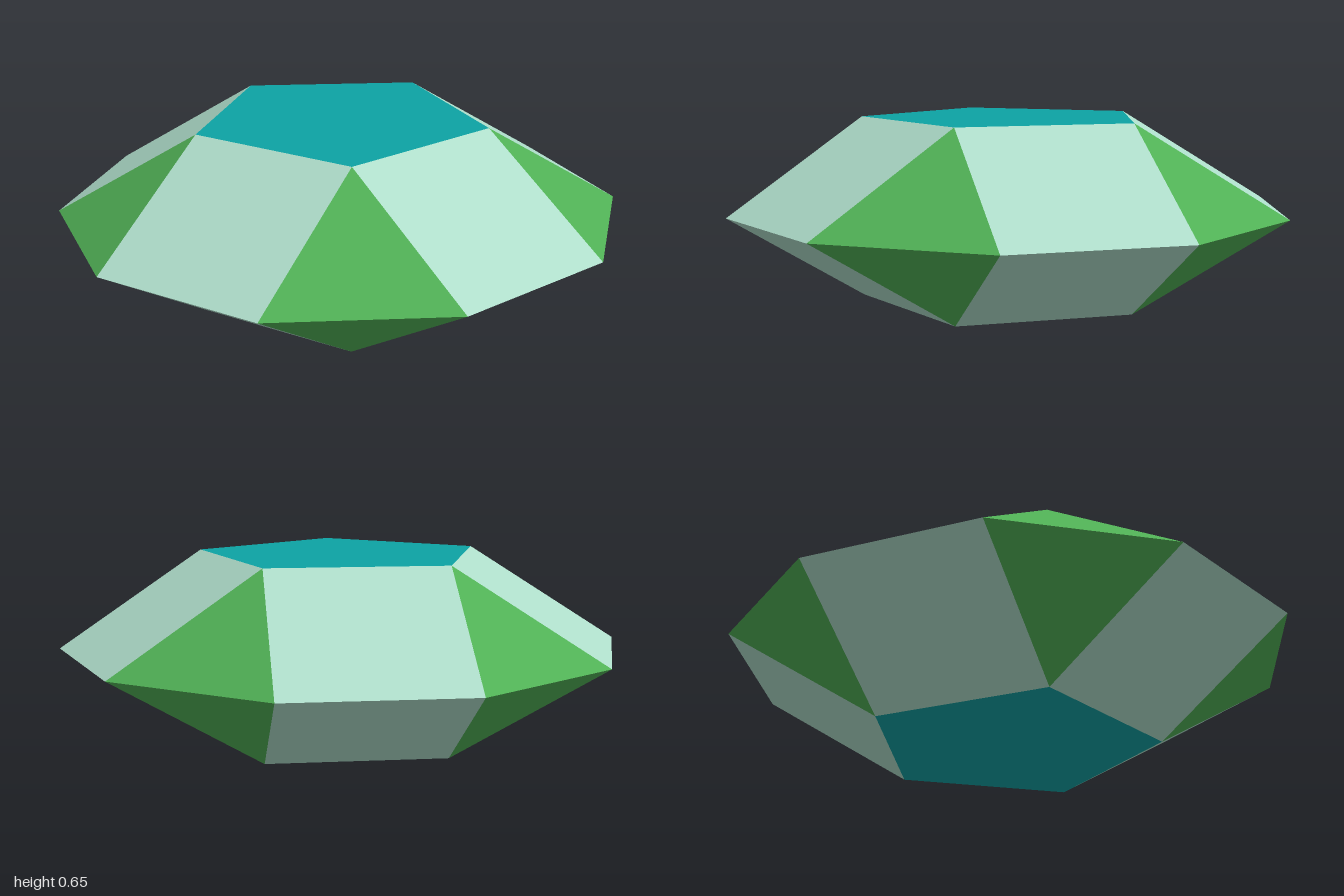
import * as THREE from 'three';

const HALF = 0.325;      // height of each cupola
const R_CAP = 0.5257;    // pentagon radius
const R_RIM = 1;         // decagon radius

const teal = new THREE.MeshStandardMaterial({ name: 'teal', color: 0x0da3a4 });
const mint = new THREE.MeshStandardMaterial({ name: 'mint', color: 0xaeddca });
const green = new THREE.MeshStandardMaterial({ name: 'green', color: 0x50b055 });

// Flat-faced mesh from convex polygons, each split into a fan
function facets(name, polygons, material, flip) {
  const points = [];
  for (const polygon of polygons) {
    const p = flip ? [...polygon].reverse() : polygon;
    for (let i = 1; i < p.length - 1; i++) points.push(p[0], p[i], p[i + 1]);
  }
  const geometry = new THREE.BufferGeometry().setFromPoints(points);
  geometry.computeVertexNormals();
  const mesh = new THREE.Mesh(geometry, material);
  mesh.name = name;
  return mesh;
}

// One pentagonal cupola; side is +1 above the rim and -1 below it
function cupola(side) {
  const at = (radius, degrees, y) => {
    const a = THREE.MathUtils.degToRad(degrees);
    return new THREE.Vector3(radius * Math.cos(a), y, radius * Math.sin(a));
  };
  const cap = (d) => at(R_CAP, d, HALF + side * HALF);
  const rim = (d) => at(R_RIM, d, HALF);

  const pentagon = [], squares = [], triangles = [];
  for (let i = 0; i < 5; i++) {
    const a = 180 + i * 72;
    pentagon.unshift(cap(a));
    squares.push([cap(a), cap(a + 72), rim(a + 54), rim(a + 18)]);
    triangles.push([cap(a), rim(a + 18), rim(a - 18)]);
  }

  const group = new THREE.Group();
  group.name = side > 0 ? 'upperCupola' : 'lowerCupola';
  const flip = side < 0;
  group.add(
    facets('pentagonCap', [pentagon], teal, flip),
    facets('squareFaces', squares, mint, flip),
    facets('triangleFaces', triangles, green, flip)
  );
  return group;
}

export function createModel() {
  const model = new THREE.Group();
  model.name = 'pentagonalBicupola';
  model.add(cupola(1), cupola(-1));
  return model;
}
